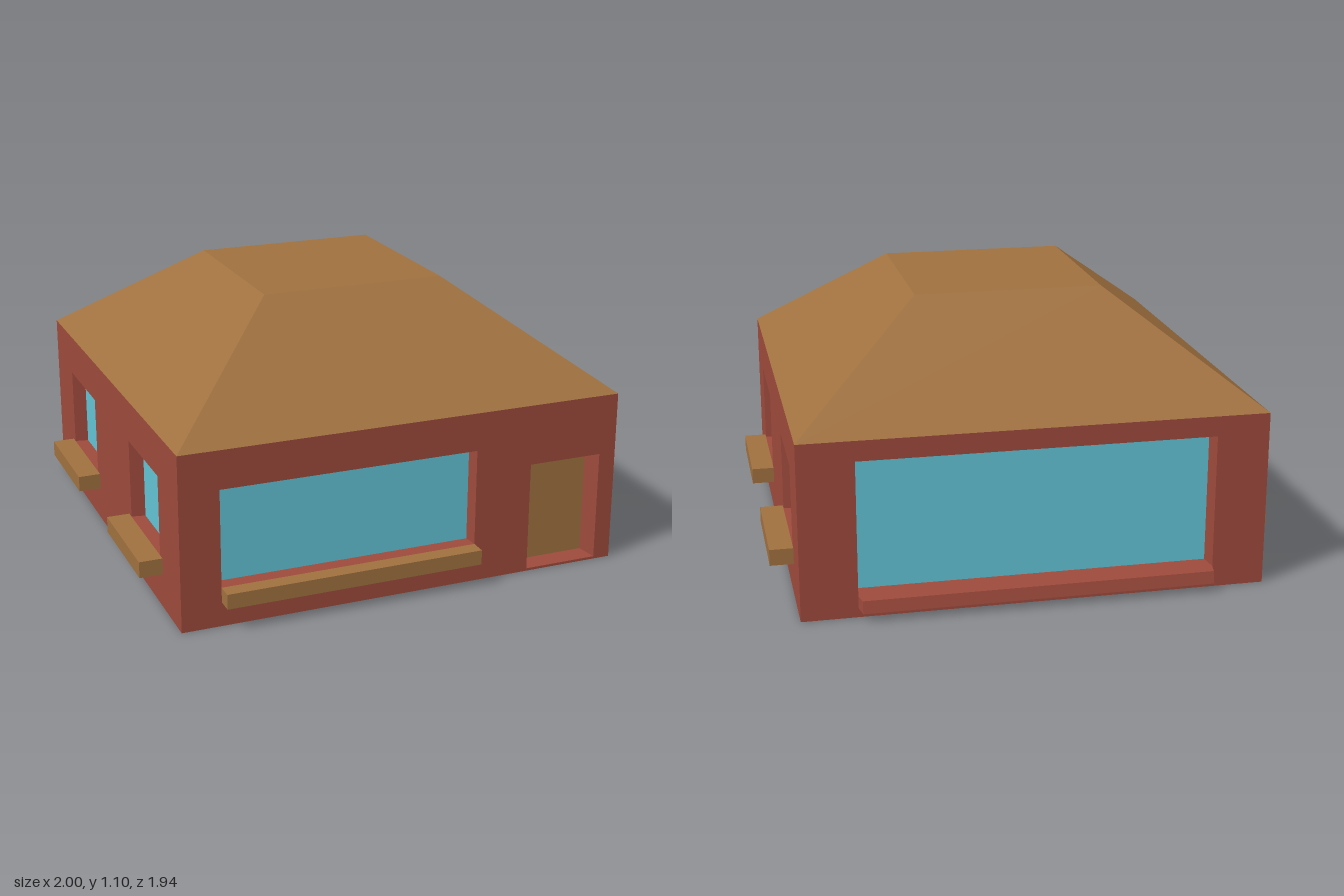
import * as THREE from 'three';

const mat = (color) => new THREE.MeshStandardMaterial({ color, flatShading: true });
const brick = mat(0x9e4a3c);
const wood = mat(0xa0713f);
const glass = mat(0x64c4d6);

const HALF = 0.908; // half width of the square house
const WALL_H = 0.7;
const ROOF_H = 0.4;

function addMesh(parent, name, geometry, material, x = 0, y = 0, z = 0) {
  const mesh = new THREE.Mesh(geometry, material);
  mesh.name = name;
  mesh.position.set(x, y, z);
  parent.add(mesh);
  return mesh;
}

// Four inward-facing sides of a recess, narrowing slightly towards the back
function revealGeometry({ x0, x1, y0, y1, depth, taper }) {
  const outer = [[x0, y0, 0], [x1, y0, 0], [x1, y1, 0], [x0, y1, 0]];
  const inner = [
    [x0 + taper, y0, -depth], [x1 - taper, y0, -depth],
    [x1 - taper, y1 - taper, -depth], [x0 + taper, y1 - taper, -depth],
  ];
  const points = [];
  for (let k = 0; k < 4; k++) {
    const n = (k + 1) % 4;
    points.push(...outer[k], ...outer[n], ...inner[n], ...outer[k], ...inner[n], ...inner[k]);
  }
  const geo = new THREE.BufferGeometry();
  geo.setAttribute('position', new THREE.Float32BufferAttribute(points, 3));
  geo.computeVertexNormals();
  return geo;
}

// Ledge under a window; lean slopes the front and mitres the ends
function sillGeometry(w, h, d, lean = 0) {
  const geo = new THREE.BoxGeometry(w, h, d);
  const p = geo.attributes.position;
  for (let i = 0; i < p.count; i++) {
    if (p.getZ(i) < 0) continue;
    p.setX(i, p.getX(i) - Math.sign(p.getX(i)) * lean);
    if (p.getY(i) > 0) p.setZ(i, p.getZ(i) - lean);
  }
  geo.computeVertexNormals();
  return geo;
}

// Wall facing local +z with its recessed openings and their sills
function makeWall(name, angle, openings) {
  const wall = new THREE.Group();
  wall.name = name;
  const shape = new THREE.Shape([
    new THREE.Vector2(-HALF, 0), new THREE.Vector2(HALF, 0),
    new THREE.Vector2(HALF, WALL_H), new THREE.Vector2(-HALF, WALL_H),
  ]);
  for (const o of openings) {
    const { x0, x1, y0, y1, depth, taper, sill } = o;
    shape.holes.push(new THREE.Path([
      new THREE.Vector2(x0, y0), new THREE.Vector2(x0, y1),
      new THREE.Vector2(x1, y1), new THREE.Vector2(x1, y0),
    ]));
    addMesh(wall, o.name + 'Reveal', revealGeometry(o), brick, 0, 0, HALF);
    const w = x1 - x0 - 2 * taper;
    const h = y1 - y0 - taper;
    addMesh(wall, o.name, new THREE.PlaneGeometry(w, h), o.material,
      (x0 + x1) / 2, y0 + h / 2, HALF - depth);
    if (sill) {
      addMesh(wall, o.name + 'Sill', sillGeometry(x1 - x0 + 2 * sill.extra, sill.h, sill.d, sill.lean),
        sill.material, (x0 + x1) / 2, y0 - sill.h / 2, HALF + sill.d / 2);
    }
  }
  addMesh(wall, name + 'Face', new THREE.ShapeGeometry(shape), brick, 0, 0, HALF);
  wall.rotation.y = angle;
  return wall;
}

export function createModel() {
  const house = new THREE.Group();
  house.name = 'house';

  // Front: wide window and door
  const frontWall = makeWall('frontWall', 0, [
    { name: 'frontWindow', x0: -0.75, x1: 0.293, y0: 0.157, y1: 0.547, depth: 0.06, taper: 0.005,
      material: glass, sill: { extra: 0, h: 0.06, d: 0.065, material: wood } },
    { name: 'door', x0: 0.53, x1: 0.838, y0: 0.01, y1: 0.455, depth: 0.09, taper: 0.012, material: wood },
  ]);

  // Back: large display window above a thin brick ledge
  const backWall = makeWall('backWall', Math.PI, [
    { name: 'backWindow', x0: -0.69, x1: 0.7, y0: 0.085, y1: 0.62, depth: 0.075, taper: 0.008,
      material: glass, sill: { extra: 0, h: 0.048, d: 0.058, lean: 0.01, material: brick } },
  ]);
  house.add(frontWall, backWall);

  // Sides: two matching windows each
  for (const [side, sign] of [['left', 1], ['right', -1]]) {
    const windows = [-1, 1].map((s) => ({
      name: side + (s * sign < 0 ? 'Front' : 'Back') + 'Window',
      x0: s * 0.457 - 0.197, x1: s * 0.457 + 0.197, y0: 0.207, y1: 0.53,
      depth: 0.055, taper: 0.01, material: glass,
      sill: { extra: 0.032, h: 0.065, d: 1 - HALF, material: wood },
    }));
    house.add(makeWall(side + 'Wall', sign * Math.PI / 2, windows));
  }

  // Underside
  const base = addMesh(house, 'base', new THREE.PlaneGeometry(2 * HALF, 2 * HALF), brick);
  base.rotation.x = Math.PI / 2;

  // Hipped roof with a flat top
  const roofGeo = new THREE.CylinderGeometry(0.376 * Math.SQRT2, HALF * Math.SQRT2, ROOF_H, 4);
  roofGeo.rotateY(Math.PI / 4);
  addMesh(house, 'roof', roofGeo, wood, 0, WALL_H + ROOF_H / 2, 0);

  house.position.z = -0.003;
  const model = new THREE.Group();
  model.name = 'smallHouse';
  model.add(house);
  return model;
}
